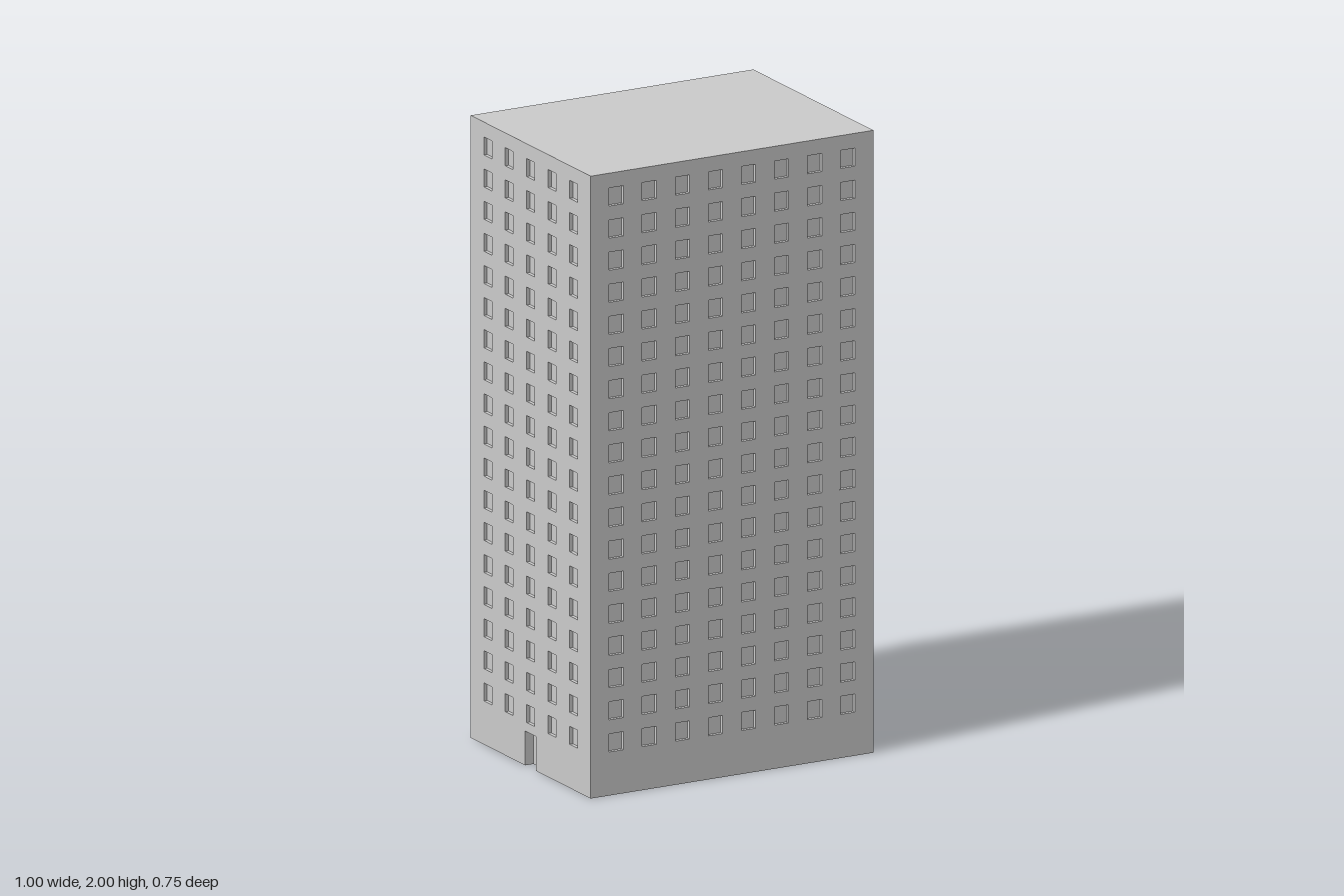
import * as THREE from 'three';

const W = 1, H = 2, L = 0.75;           // overall width, height, depth
const WALL = 0.012;                     // window recess
const WIN_W = 0.05, WIN_H = 0.058;      // window opening
const ROWS = 18, FIRST_SILL = 0.14, ROW_STEP = 0.1032;
const DOOR_W = 0.07, DOOR_H = 0.11, DOOR_DEPTH = 0.03;

const material = new THREE.MeshStandardMaterial({ color: 0xcccccc, flatShading: true });

function polygon(points, Type = THREE.Shape) {
  return new Type(points.map(([x, y]) => new THREE.Vector2(x, y)));
}

// Facade slab pierced by a grid of windows, optionally with a doorway cut from the base
function facade(width, columns, step, hasDoor) {
  const w = width / 2, d = DOOR_W / 2;
  const door = hasDoor ? [[-d, 0], [-d, DOOR_H], [d, DOOR_H], [d, 0]] : [];
  const shape = polygon([[-w, 0], ...door, [w, 0], [w, H], [-w, H]]);
  for (let c = 0; c < columns; c++) {
    for (let r = 0; r < ROWS; r++) {
      const x = (c - (columns - 1) / 2) * step - WIN_W / 2;
      const y = FIRST_SILL + r * ROW_STEP;
      shape.holes.push(polygon(
        [[x, y], [x, y + WIN_H], [x + WIN_W, y + WIN_H], [x + WIN_W, y]], THREE.Path));
    }
  }
  return new THREE.ExtrudeGeometry(shape, { depth: WALL, bevelEnabled: false });
}

export function createModel() {
  const building = new THREE.Group();
  building.name = 'towerBlock';
  const add = (name, geometry) => {
    const mesh = new THREE.Mesh(geometry, material);
    mesh.name = name;
    building.add(mesh);
    return mesh;
  };

  // Four outer walls
  const walls = [
    { name: 'frontWall', angle: 0, reach: L / 2, width: W, columns: 8, step: 0.117 },
    { name: 'backWall', angle: Math.PI, reach: L / 2, width: W, columns: 8, step: 0.117 },
    { name: 'leftWall', angle: Math.PI / 2, reach: W / 2, width: L - 2 * WALL, columns: 5, step: 0.134 },
    { name: 'rightWallWithDoorway', angle: -Math.PI / 2, reach: W / 2, width: L - 2 * WALL, columns: 5, step: 0.134, door: true },
  ];
  for (const { name, angle, reach, width, columns, step, door } of walls) {
    const geometry = facade(width, columns, step, door);
    geometry.translate(0, 0, reach - WALL);
    add(name, geometry.rotateY(angle));
  }

  // Inner core: its surface forms the window panes
  const cx = W / 2 - WALL, cz = L / 2 - WALL, d = DOOR_W / 2;
  const upper = add('upperCore', new THREE.BoxGeometry(2 * cx, H - DOOR_H, 2 * cz));
  upper.position.y = (H + DOOR_H) / 2;

  // Ground floor core with the entrance recess
  const inner = -W / 2 + DOOR_DEPTH;
  const footprint = polygon([
    [-cx, -cz], [cx, -cz], [cx, cz], [-cx, cz],
    [-cx, d], [inner, d], [inner, -d], [-cx, -d],
  ]);
  const base = new THREE.ExtrudeGeometry(footprint, { depth: DOOR_H, bevelEnabled: false });
  add('groundFloorCore', base.rotateX(-Math.PI / 2));

  return building;
}
